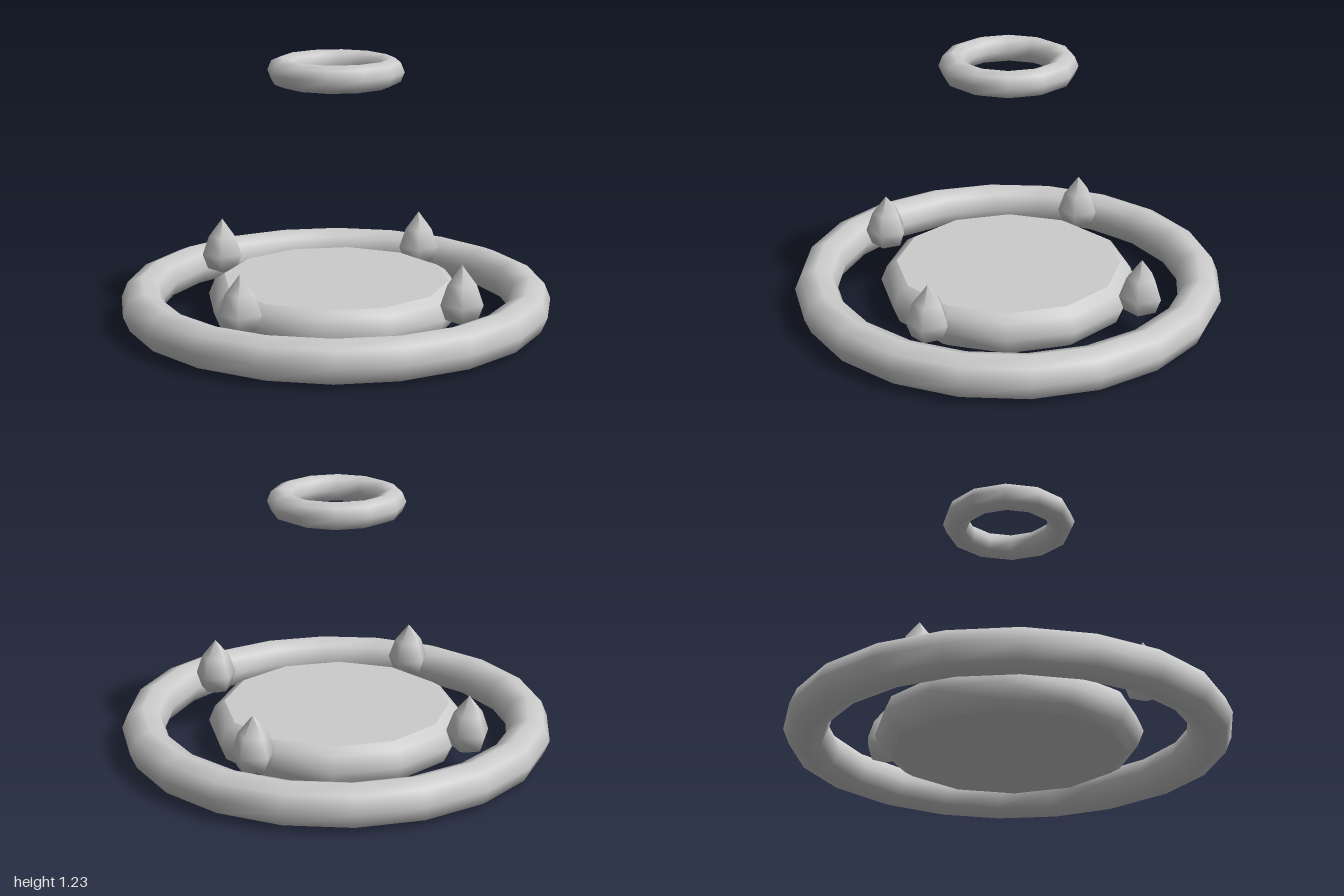
import * as THREE from 'three';

export function createModel() {
  const group = new THREE.Group();
  const stone = new THREE.MeshStandardMaterial({ color: 0xcccccc });
  stone.name = 'light grey';

  const add = (name, geometry, x = 0, y = 0, z = 0) => {
    const mesh = new THREE.Mesh(geometry, stone);
    mesh.name = name;
    mesh.position.set(x, y, z);
    group.add(mesh);
    return mesh;
  };
  const lathe = (points, sides) =>
    new THREE.LatheGeometry(points.map(([r, y]) => new THREE.Vector2(r, y)), sides);
  const ring = (radius, tube, sides) =>
    new THREE.TorusGeometry(radius, tube, 8, sides).rotateX(Math.PI / 2);

  // Large ring on the ground and small ring floating above
  add('outerRing', ring(0.9, 0.1, 20), 0, 0.1, 0);
  add('floatingRing', ring(0.25, 0.0625, 12), 0, 1.167, 0);

  // Central platform: rounded rim with flat faces above and below
  add('platformRim', lathe(
    [[0.525, 0], [0.571, 0.029], [0.6, 0.1], [0.571, 0.171], [0.525, 0.2]], 12));
  add('platformTop', new THREE.CircleGeometry(0.525, 12).rotateX(-Math.PI / 2), 0, 0.2, 0);
  add('platformBottom', new THREE.CircleGeometry(0.525, 12).rotateX(Math.PI / 2));

  // Four five-sided pointed studs between platform and ring
  const stud = lathe(
    [[0, 0.1], [0.075, 0.13], [0.1, 0.2], [0.068, 0.29], [0, 0.375]], 5).rotateY(Math.PI / 2);
  for (let i = 0; i < 4; i++) {
    const a = i * Math.PI / 2;
    add('stud', stud, 0.69 * Math.cos(a), 0, 0.69 * Math.sin(a));
  }
  return group;
}
